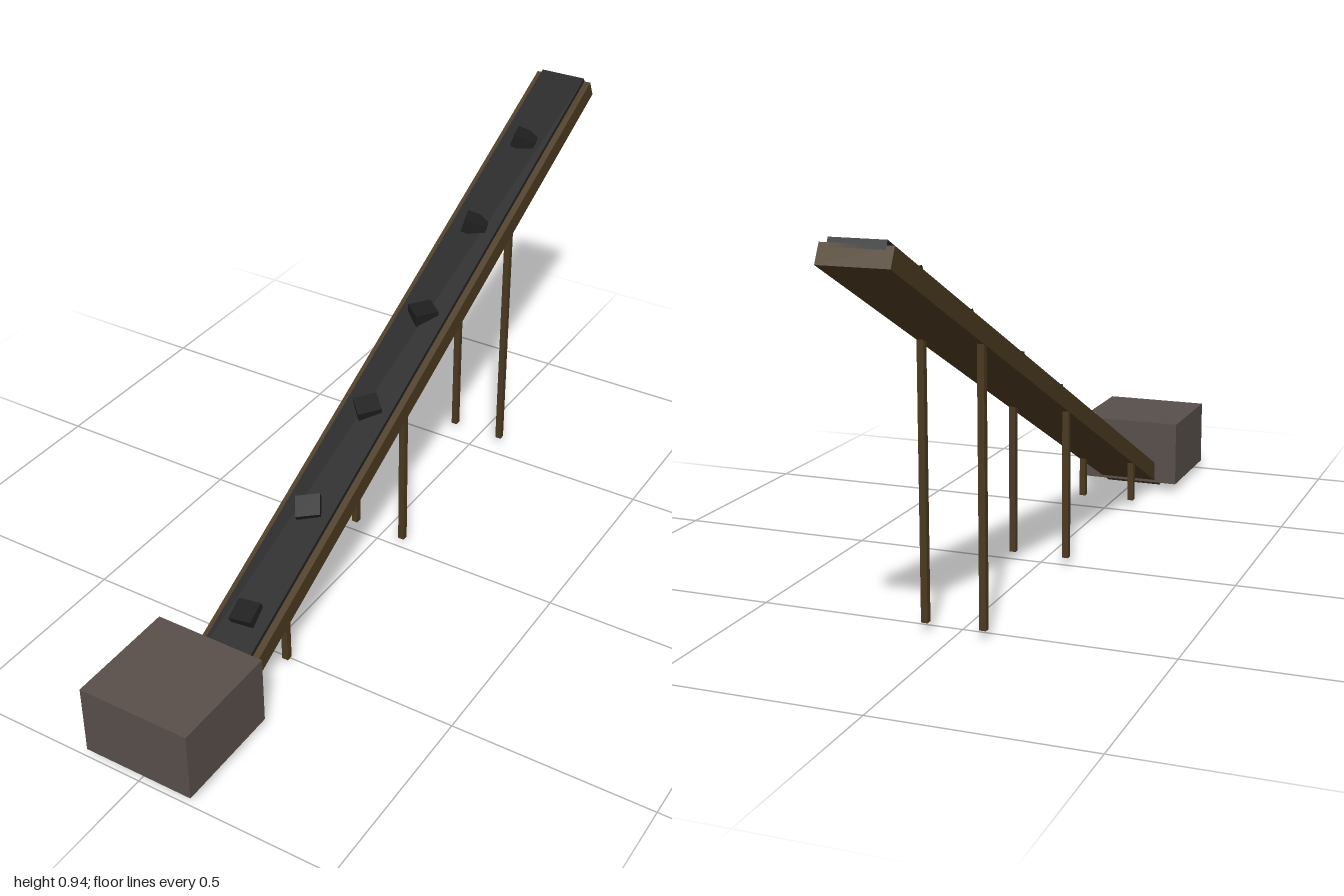
import * as THREE from 'three';

const mat = (name, color) => {
  const m = new THREE.MeshStandardMaterial({ color });
  m.name = name;
  return m;
};

export function createModel() {
  const model = new THREE.Group();
  model.name = 'inclinedConveyor';
  const wood = mat('darkWood', 0x4a3a20);
  const rubber = mat('blackRubber', 0x222222);
  const coal = mat('coal', 0x1e1e1e);
  const stone = mat('greyBrownStone', 0x584f4b);

  const box = (parent, name, material, size, pos, rot = [0, 0, 0]) => {
    const mesh = new THREE.Mesh(new THREE.BoxGeometry(...size), material);
    mesh.name = name;
    mesh.position.set(...pos);
    mesh.rotation.set(...rot);
    parent.add(mesh);
    return mesh;
  };

  // Sloping frame: local origin is the middle of the underside, local z runs downhill
  const slope = Math.atan(0.5);
  const length = 1.99;
  const incline = new THREE.Group();
  incline.name = 'incline';
  incline.position.set(0, 0.445, -0.11);
  incline.rotation.x = slope;
  model.add(incline);
  box(incline, 'beam', wood, [0.158, 0.046, length], [0, 0.023, 0]);
  box(incline, 'belt', rubber, [0.124, 0.02, length], [0, 0.047, 0]);

  // Lumps of coal, each turned a little differently and half sunk in the belt
  const turns = [
    [-0.1, 0.1, 0.1], [0.1, 0.5, -0.1], [-0.1, 0.75, -0.1],
    [-0.3, 0.9, -0.1], [-0.45, 0.35, -0.3], [-0.45, 0.25, -0.3],
  ];
  turns.forEach((turn, i) => {
    const z = 0.578 - i * 0.267;
    box(model, 'coalLump' + (i + 1), coal, [0.06, 0.036, 0.056],
      [0, 0.445 + 0.062 - (z + 0.11) * 0.5, z], [slope + turn[0], turn[1], turn[2]]);
  });

  // Pairs of posts reaching up to the underside of the beam
  for (const z of [0.525, -0.01, -0.545]) {
    const top = 0.445 - (z + 0.11) * 0.5 + 0.012;
    for (const side of [-1, 1]) {
      box(model, side > 0 ? 'leftPost' : 'rightPost', wood,
        [0.016, top - 0.025, 0.016], [side * 0.07, (top + 0.025) / 2, z]);
    }
  }

  // Hopper block at the foot
  box(model, 'hopper', stone, [0.282, 0.176, 0.28], [0, 0.111, 0.86]);
  return model;
}
